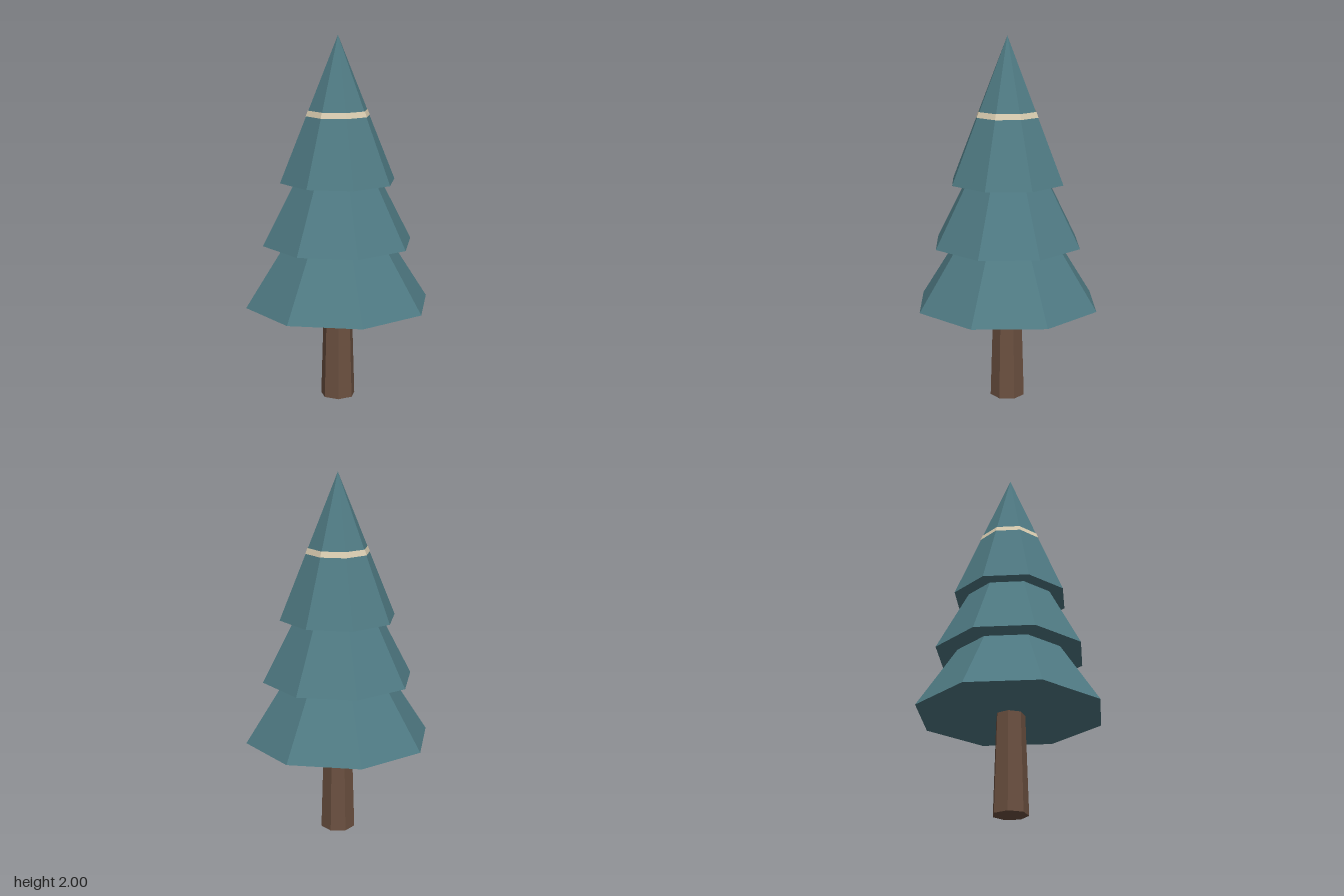
import * as THREE from 'three';

const material = (color) => new THREE.MeshStandardMaterial({ color, flatShading: true });

// Faceted frustum standing on height y
function frustum(name, rTop, rBottom, y, height, sides, mat, start = 0, open = false) {
  const geometry = new THREE.CylinderGeometry(rTop, rBottom, height, sides, 1, open, start);
  geometry.translate(0, y + height / 2, 0);
  const mesh = new THREE.Mesh(geometry, mat);
  mesh.name = name;
  return mesh;
}

export function createModel() {
  const tree = new THREE.Group();
  tree.name = 'pineTree';
  const bark = material(0x6b5040);
  const needles = material(0x4f7a83);
  const cream = material(0xd9ccb0);
  cream.side = THREE.DoubleSide;

  // Seven-sided tapering trunk, one corner towards +x
  tree.add(frustum('trunk', 0.078, 0.096, 0, 0.58, 7, bark, Math.PI / 2));

  // Three overlapping eight-sided cones: radius, base height, tip height
  const tiers = [
    ['lowerFoliage', 0.515, 0.54, 1.34],
    ['middleFoliage', 0.417, 0.88, 1.68],
    ['upperFoliage', 0.32, 1.22, 2],
  ];
  for (const [name, radius, base, tip] of tiers) {
    const cone = new THREE.ConeGeometry(radius, tip - base, 8);
    cone.translate(0, (base + tip) / 2, 0);
    const mesh = new THREE.Mesh(cone, needles);
    mesh.name = name;
    tree.add(mesh);
  }

  // Thin pale band following the slope of the upper cone
  tree.add(frustum('band', 0.165, 0.177, 1.575, 0.03, 8, cream, 0, true));
  return tree;
}
